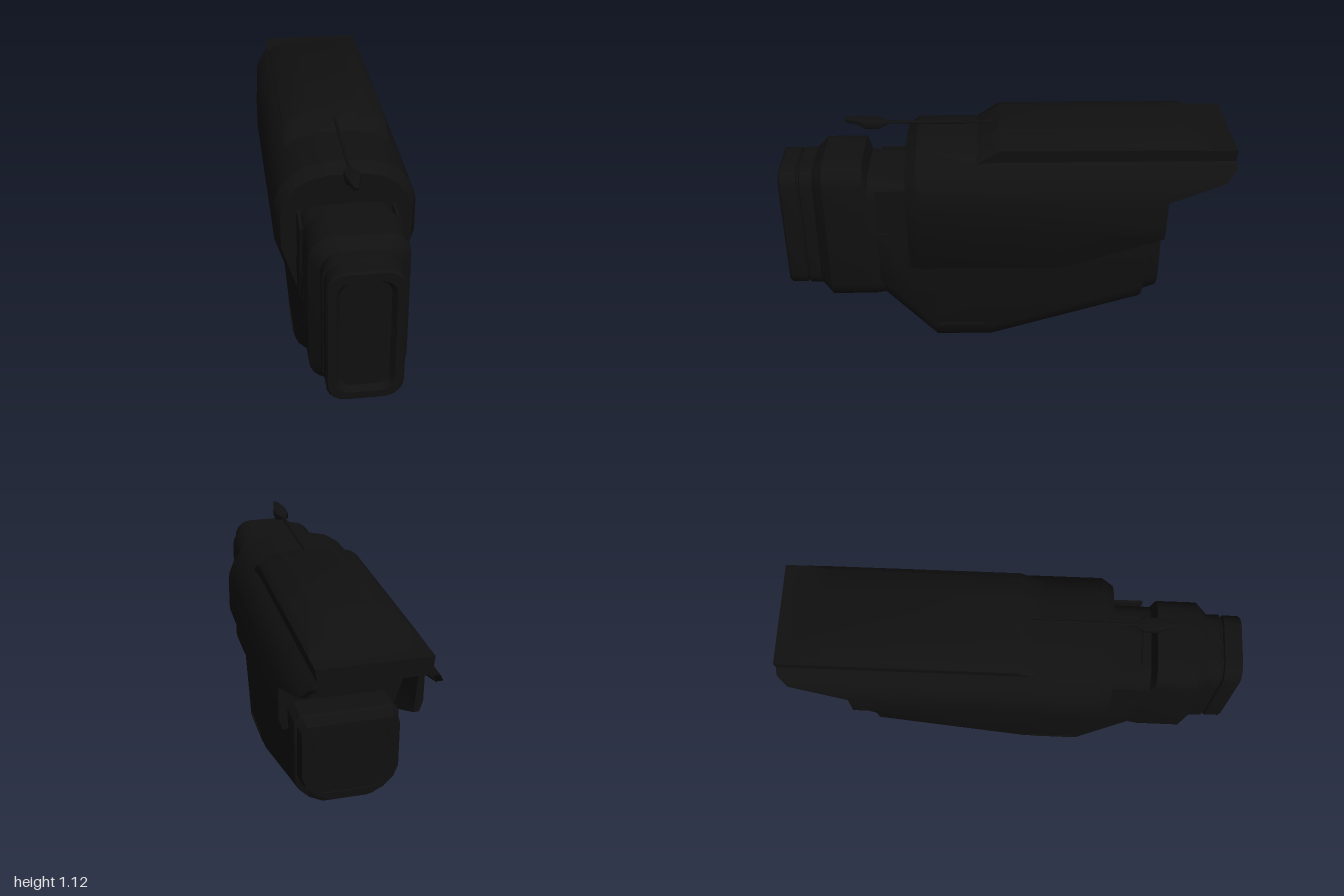
import * as THREE from 'three';
import { toCreasedNormals } from 'three/addons/utils/BufferGeometryUtils.js';

const material = new THREE.MeshStandardMaterial({ color: 0x101010, side: THREE.DoubleSide });

// Skin a list of [z, loop] sections (back to front, loops counter-clockwise) and cap both ends
function loft(sections, crease = 0.55) {
  const pos = [], n = sections[0][1].length;
  const put = ([z, loop], i) => pos.push(loop[i % n][0], loop[i % n][1], z);
  for (let s = 0; s < sections.length - 1; s++) {
    const a = sections[s], b = sections[s + 1];
    for (let i = 0; i < n; i++) {
      put(a, i); put(a, i + 1); put(b, i + 1);
      put(a, i); put(b, i + 1); put(b, i);
    }
  }
  const cap = (sec, front) => {
    const pts = sec[1].map(p => new THREE.Vector2(p[0], p[1]));
    for (const [i, j, k] of THREE.ShapeUtils.triangulateShape(pts, [])) {
      const ccw = (pts[j].x - pts[i].x) * (pts[k].y - pts[i].y) - (pts[j].y - pts[i].y) * (pts[k].x - pts[i].x) > 0;
      for (const v of ccw === front ? [i, j, k] : [i, k, j]) put(sec, v);
    }
  };
  cap(sections[0], false);
  cap(sections[sections.length - 1], true);
  const g = new THREE.BufferGeometry();
  g.setAttribute('position', new THREE.Float32BufferAttribute(pos, 3));
  return toCreasedNormals(g, crease);
}

// Close a right-hand half outline (bottom to top) by mirroring it
const mirror = half => [...half, ...half.map(([x, y]) => [-x, y]).reverse()];

function roundRect(hw, y0, y1, r) {
  const pts = [], corners = [[hw - r, y0 + r], [hw - r, y1 - r], [r - hw, y1 - r], [r - hw, y0 + r]];
  corners.forEach(([cx, cy], c) => {
    for (let i = 0; i <= 5; i++) {
      const a = (c - 1 + i / 5) * Math.PI / 2;
      pts.push([cx + r * Math.cos(a), cy + r * Math.sin(a)]);
    }
  });
  return pts;
}
const rects = rows => rows.map(([z, hw, y0, y1, r]) => [z, roundRect(hw, y0, y1, r)]);

// Half outline of the upper shell
const shellHalf = [[0.23, 0.46], [0.305, 0.7], [0.305, 0.85], [0.299, 0.89], [0.275, 0.95], [0.235, 1.0], [0.17, 1.04], [0.08, 1.06]];

function shellWidth(y) {
  for (let i = 1; i < shellHalf.length; i++) {
    const [x0, y0] = shellHalf[i - 1], [x1, y1] = shellHalf[i];
    if (y <= y1) return x0 + (x1 - x0) * Math.max(0, (y - y0) / (y1 - y0));
  }
  return 0.08;
}

// Shell section cut off below yMin, optionally shrunk
function shellOutline(yMin, sx = 1, sy = 1) {
  return shellHalf.map(([, y], i) => {
    const cy = Math.max(y, yMin + i * 0.001);
    return [shellWidth(cy) * sx, 0.46 + (cy - 0.46) * sy];
  });
}

function shellBand(yMin, sx, sy) {
  const outer = shellOutline(yMin, sx, sy);
  const inner = outer.map(([x, y], i) => [x - 0.025, y - 0.025 * i / 7]);
  return [...mirror(outer), ...mirror(inner).reverse()];
}

// Lower hull section with a rounded keel at height b
const hullSection = (b, w, top) => mirror([
  [0.1 * w, b], [0.16 * w, b + 0.03], [0.205 * w, b + 0.075], [0.225 * w, b + 0.125],
  [0.225 * w, top - 0.03], [0.2 * w, top]]);

// Raised top plate: h blends it into the shell, cut limits its height
const plateSection = (h, cut = 2) => mirror([
  [0.22, 0.985, 0.985], [0.23, 0.995, 1.065], [0.2, 1.015, 1.09], [0.13, 1.04, 1.11], [0.1, 1.05, 1.115]]
  .map(([x, low, high]) => [x, Math.min(low + (high - low) * h, cut)]));

export function createModel() {
  const model = new THREE.Group();
  const add = (name, geometry) => {
    const mesh = new THREE.Mesh(geometry, material);
    mesh.name = name;
    model.add(mesh);
    return mesh;
  };

  // Hollow upper shell with overhanging rear hood
  add('upperShell', loft([
    [-1, shellBand(0.98)], [-0.96, shellBand(0.93)], [-0.712, shellBand(0.845)],
    [-0.71, shellBand(0.65)], [-0.27, shellBand(0.46)], [0.38, shellBand(0.46)],
    [0.43, shellBand(0.46, 0.92, 0.935)]]));
  add('shellCore', loft([
    [-0.52, mirror(shellOutline(0.58, 0.95, 0.97))], [-0.27, mirror(shellOutline(0.46, 0.95, 0.97))],
    [0.36, mirror(shellOutline(0.46, 0.95, 0.97))], [0.42, mirror(shellOutline(0.46, 0.88, 0.92))]]));
  add('topPlate', loft([
    [-1, plateSection(1, 1.062)], [-0.9, plateSection(1, 1.062)], [-0.8, plateSection(1)],
    [0.02, plateSection(1)], [0.13, plateSection(0)]]));

  // Lower hull with sloping keel
  add('lowerHull', loft([
    [-0.71, hullSection(0.275, 0.93, 0.64)], [-0.65, hullSection(0.255, 0.96, 0.65)],
    [-0.64, hullSection(0.22, 1, 0.66)], [0.06, hullSection(0, 1, 0.66)],
    [0.32, hullSection(0, 1, 0.66)], [0.57, hullSection(0.26, 0.9, 0.66)]]));

  // Rear frame around a sunken panel
  add('rearFrame', loft(rects([
    [-0.67, 0.13, 0.34, 0.6, 0.05], [-0.7, 0.15, 0.32, 0.62, 0.06],
    [-0.712, 0.16, 0.31, 0.63, 0.06], [-0.69, 0.17, 0.3, 0.64, 0.06]])));

  // Neck between shell and collar
  add('neck', loft(rects([[0.3, 0.205, 0.35, 0.87, 0.07], [0.6, 0.2, 0.29, 0.885, 0.08]])));

  // Stepped collar and muzzle with a recessed front
  add('collar', loft(rects([
    [0.54, 0.195, 0.27, 0.87, 0.09], [0.57, 0.2, 0.262, 0.89, 0.1], [0.605, 0.205, 0.26, 0.89, 0.1],
    [0.625, 0.205, 0.26, 0.96, 0.1], [0.8, 0.205, 0.26, 0.96, 0.1], [0.85, 0.16, 0.305, 0.92, 0.08],
    [0.905, 0.16, 0.305, 0.92, 0.08], [0.91, 0.15, 0.315, 0.91, 0.075], [0.917, 0.15, 0.315, 0.91, 0.075],
    [0.922, 0.157, 0.305, 0.92, 0.08], [0.99, 0.157, 0.305, 0.92, 0.08], [1, 0.15, 0.312, 0.913, 0.075],
    [1, 0.118, 0.345, 0.875, 0.06], [0.975, 0.1, 0.363, 0.857, 0.05]])));

  // Slanted cheek plates and side ribs
  const cheek = new THREE.Shape([[0.4, 0.47], [0.5, 0.47], [0.57, 0.86], [0.4, 0.86]].map(p => new THREE.Vector2(-p[0], p[1])));
  for (const s of [-1, 1]) {
    const g = new THREE.ExtrudeGeometry(cheek, { depth: 0.014, bevelEnabled: false });
    g.rotateY(Math.PI / 2);
    add('cheekPlate', g).position.x = s * 0.205 - 0.007;
    const rib = add('sideRib', new THREE.BoxGeometry(0.008, 0.012, 0.22));
    rib.position.set(s * 0.225, 0.14, 0.2);
  }

  // Thin rod with a tapered paddle tip
  const rod = add('rod', new THREE.CylinderGeometry(0.007, 0.007, 0.52, 8));
  rod.rotation.x = Math.PI / 2;
  rod.position.set(0, 1.092, 0.29);
  add('rodPaddle', loft(rects([
    [0.51, 0.008, 1.085, 1.1, 0.004], [0.55, 0.03, 1.073, 1.108, 0.006],
    [0.61, 0.03, 1.073, 1.112, 0.006], [0.64, 0.022, 1.09, 1.114, 0.005],
    [0.69, 0.012, 1.095, 1.115, 0.005], [0.7, 0.008, 1.106, 1.115, 0.003]])));

  return model;
}
